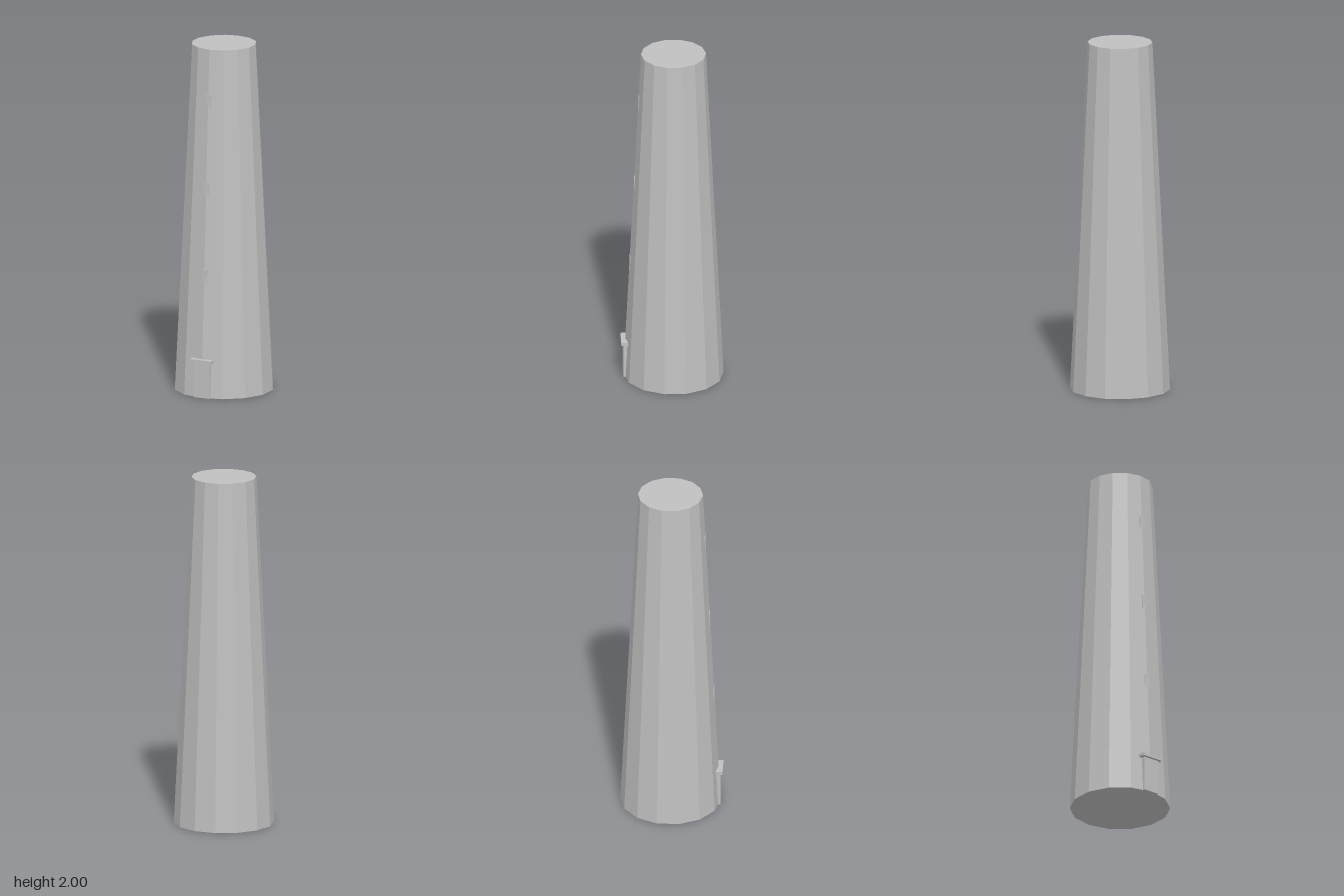
import * as THREE from 'three';

export function createModel() {
  const model = new THREE.Group();
  const stone = new THREE.MeshStandardMaterial({ color: 0xc0c0c0, flatShading: true });
  stone.name = 'pale stone';

  const baseRadius = 0.283, topRadius = 0.1835, height = 2, axisZ = -0.007;
  // z of the tower's front edge at a given height
  const frontZ = (y) => axisZ + baseRadius + (topRadius - baseRadius) * (y / height);

  function add(name, geometry, x, y, z) {
    const mesh = new THREE.Mesh(geometry, stone);
    mesh.name = name;
    mesh.position.set(x, y, z);
    model.add(mesh);
  }

  // Tapered fourteen-sided shaft with an edge facing the front
  add('towerShaft', new THREE.CylinderGeometry(topRadius, baseRadius, height, 14), 0, height / 2, axisZ);

  // Door slab and the lintel over it
  add('door', new THREE.BoxGeometry(0.1, 0.203, 0.04), 0, 0.1015, 0.257);
  add('doorLintel', new THREE.BoxGeometry(0.134, 0.017, 0.05), 0, 0.2135, 0.265);

  // Narrow window slits up the front edge, almost flush with the wall
  for (const y of [0.7, 1.2, 1.7]) {
    add('windowSlit', new THREE.BoxGeometry(0.034, 0.08, 0.009), 0, y, frontZ(y) - 0.0045);
  }
  return model;
}
